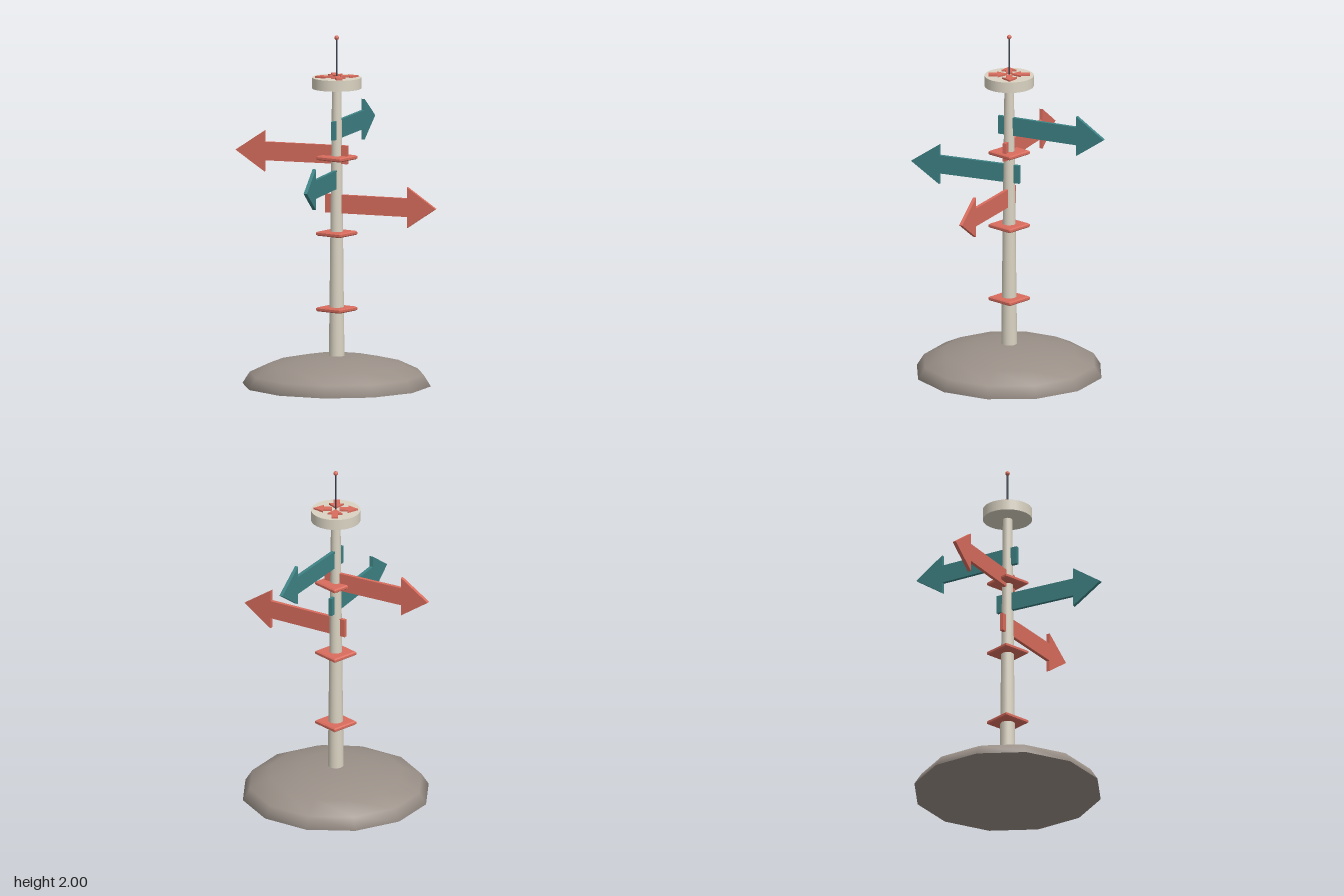
import * as THREE from 'three';

const mat = (name, color) => {
  const m = new THREE.MeshStandardMaterial({ color });
  m.name = name;
  return m;
};

// Arrow along +x from tail to tip, centred on its thickness
function arrowGeometry(tail, tip, headLength, shaftHalf, headHalf, depth) {
  const neck = tip - headLength;
  const shape = new THREE.Shape([
    [tail, -shaftHalf], [neck, -shaftHalf], [neck, -headHalf], [tip, 0],
    [neck, headHalf], [neck, shaftHalf], [tail, shaftHalf],
  ].map(([x, y]) => new THREE.Vector2(x, y)));
  return new THREE.ExtrudeGeometry(shape, { depth, bevelEnabled: false }).translate(0, 0, -depth / 2);
}

export function createModel() {
  const stone = mat('stone', 0x9a9088);
  const cream = mat('cream', 0xdad3c2);
  const red = mat('coral red', 0xd86c5d);
  const teal = mat('teal', 0x3e8285);
  const dark = mat('dark metal', 0x3a3f4c);

  const model = new THREE.Group();
  model.name = 'signpost';
  const add = (name, geometry, material, x = 0, y = 0, z = 0) => {
    const mesh = new THREE.Mesh(geometry, material);
    mesh.name = name;
    mesh.position.set(x - 0.006, y, z - 0.004);
    model.add(mesh);
    return mesh;
  };

  // Low dome base with a flat underside
  const dome = new THREE.SphereGeometry(0.538, 12, 4, 0, Math.PI * 2, 0, Math.PI / 2);
  add('baseDome', dome.scale(1, 0.17 / 0.538, 1), stone);
  add('baseUnderside', new THREE.CircleGeometry(0.538, 12).rotateX(Math.PI / 2), stone);

  // Tapered pole
  add('pole', new THREE.CylinderGeometry(0.027, 0.047, 1.7, 14), cream, 0, 0.86);

  // Square collars with softened edges
  const profile = [[0, -0.012], [0.108, -0.012], [0.118, -0.006], [0.118, 0.006], [0.108, 0.012], [0, 0.012]]
    .map(([x, y]) => new THREE.Vector2(x, y));
  const collar = new THREE.LatheGeometry(profile, 4, Math.PI / 4).toNonIndexed();
  collar.computeVertexNormals();
  [0.434, 0.867, 1.3].forEach((y, i) => add(`collar${i + 1}`, collar, red, 0, y));

  // Direction signs passing through the pole: height, tip x, tip z
  const sign = arrowGeometry(-0.066, 0.602, 0.173, 0.053, 0.117, 0.02);
  [
    [1.46, 0.577, -0.176, teal],
    [1.319, -0.192, -0.569, red],
    [1.178, -0.566, 0.207, teal],
    [1.037, 0.169, 0.576, red],
  ].forEach(([y, x, z, material], i) => {
    add(`signArrow${i + 1}`, sign, material, 0, y).rotation.y = Math.atan2(-z, x);
  });

  // Cap disc
  add('capDisc', new THREE.CylinderGeometry(0.14, 0.14, 0.062, 32), cream, 0, 1.729);

  // Flat arrows on the cap, alternately pointing out and in
  const outward = arrowGeometry(0.022, 0.125, 0.055, 0.018, 0.042, 0.014).rotateX(-Math.PI / 2);
  const inward = arrowGeometry(-0.117, -0.012, 0.055, 0.018, 0.042, 0.014).rotateX(-Math.PI / 2);
  for (let i = 0; i < 4; i++) {
    const points = i % 2 === 1;
    const angle = Math.PI / 4 + i * Math.PI / 2;
    add(`capArrow${i + 1}`, points ? outward : inward, red, 0, 1.763)
      .rotation.y = points ? angle : angle + Math.PI;
  }

  // Antenna and tip ball
  add('antenna', new THREE.CylinderGeometry(0.005, 0.005, 0.23, 8), dark, 0, 1.873);
  add('antennaBall', new THREE.SphereGeometry(0.013, 12, 8), red, 0, 1.987);

  return model;
}
